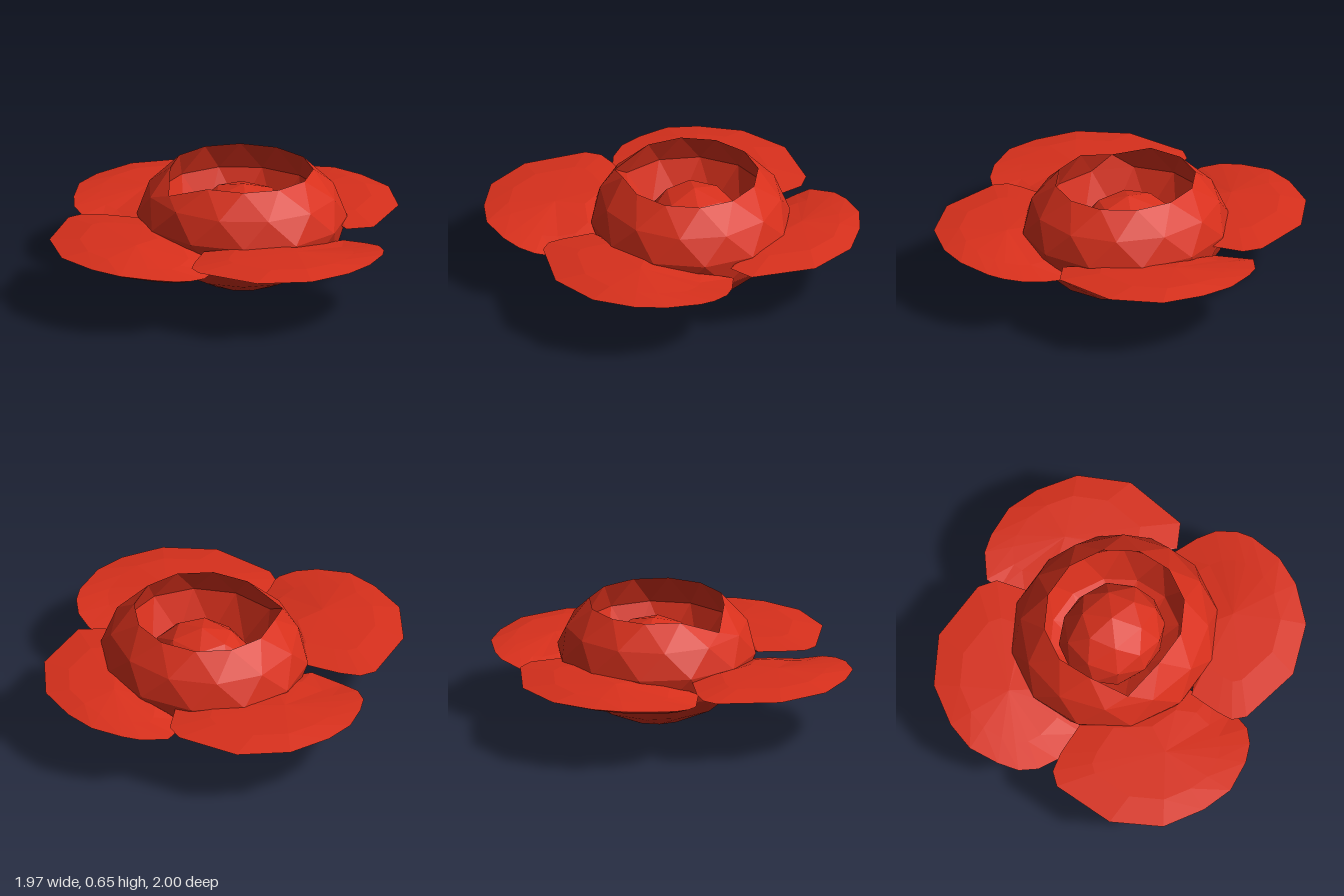
import * as THREE from 'three';

const red = new THREE.MeshStandardMaterial({ color: 0xd8301c, flatShading: true, side: THREE.DoubleSide });
const clamp = THREE.MathUtils.clamp;

// Petal outlines as [x, z], counterclockwise from above
const petals = {
  backPetal: [[.6, -.23], [.71, -.33], [.66, -.68], [.47, -.9], [.25, -.98], [.07, -1], [-.1, -.95], [-.19, -.9],
    [-.28, -.78], [-.26, -.7], [-.18, -.58], [.03, -.58], [.3, -.48], [.48, -.3]],
  rightPetal: [[-.25, -.73], [-.35, -.77], [-.69, -.7], [-.9, -.5], [-.98, -.27], [-.99, -.1], [-.93, .06],
    [-.87, .16], [-.78, .22], [-.66, .24], [-.46, .22], [-.42, .1], [-.48, -.1], [-.4, -.35], [-.16, -.57]],
  frontPetal: [[-.64, .24], [-.74, .29], [-.78, .37], [-.7, .71], [-.5, .92], [-.27, .99], [-.09, 1], [.08, .93],
    [.17, .86], [.22, .78], [.23, .65], [.22, .5], [.1, .38], [-.15, .37], [-.4, .17]],
  leftPetal: [[.11, .45], [.15, .62], [.18, .7], [.25, .74], [.6, .72], [.84, .55], [.95, .34], [.98, .17],
    [.95, -.02], [.91, -.1], [.83, -.18], [.73, -.22], [.57, -.25], [.52, 0], [.42, .2], [.22, .36]],
};

function build(positions, index) {
  const geometry = new THREE.BufferGeometry();
  geometry.setAttribute('position', new THREE.Float32BufferAttribute(positions, 3));
  geometry.setIndex(index);
  geometry.computeVertexNormals();
  return geometry;
}

// Thin lens-shaped petal; its trailing inner corner dips under the next petal
function petalGeometry(outline) {
  const n = outline.length;
  const cx = outline.reduce((s, p) => s + p[0], 0) / n;
  const cz = outline.reduce((s, p) => s + p[1], 0) / n;
  const len = Math.hypot(cx, cz);
  const height = (x, z) => {
    const side = (x * cz - z * cx) / len;
    return 0.367 - 0.075 * clamp(side / 0.42, 0, 1) * clamp((1 - Math.hypot(x, z)) / 0.35, 0, 1);
  };
  const rings = [[0, .03], [.65, .026], [1, .002], [.85, -.02], [0, -.025]];
  const positions = [], index = [];
  for (const [scale, lift] of rings) {
    for (const [px, pz] of outline) {
      const x = cx + (px - cx) * scale, z = cz + (pz - cz) * scale;
      positions.push(x, height(x, z) + lift, z);
    }
  }
  for (let r = 0; r < rings.length - 1; r++) {
    for (let i = 0; i < n; i++) {
      const a = r * n + i, b = r * n + (i + 1) % n;
      index.push(a, a + n, b + n, a, b + n, b);
    }
  }
  return build(positions, index);
}

// Faceted bowl: up the outside, over the rim and down the inside,
// alternate rings turned half a step, with one notch in the rim
function bowlGeometry() {
  const profile = [[0, 0], [.2, .022], [.39, .112], [.525, .235], [.575, .39], [.52, .53], [.39, .655],
    [.455, .5], [.36, .28], [.2, .17], [0, .14]];
  const sides = 12, rim = 6;
  const positions = [], index = [];
  profile.forEach(([radius, y], row) => {
    for (let i = 0; i < sides; i++) {
      const angle = (i + (row % 2) / 2) * 2 * Math.PI / sides;
      const notched = row === rim && i === sides - 1;
      const r = notched ? 0.465 : radius;
      positions.push(r * Math.sin(angle), notched ? 0.575 : y, r * Math.cos(angle) * 0.94);
    }
  });
  for (let row = 0; row < profile.length - 1; row++) {
    for (let i = 0; i < sides; i++) {
      const a = row * sides + i, b = row * sides + (i + 1) % sides;
      const c = a + sides, d = b + sides;
      if (row % 2) index.push(d, c, a, a, b, d);
      else index.push(a, b, c, b, d, c);
    }
  }
  return build(positions, index);
}

export function createModel() {
  const flower = new THREE.Group();
  flower.name = 'flower';
  const add = (name, geometry) => {
    const mesh = new THREE.Mesh(geometry, red);
    mesh.name = name;
    flower.add(mesh);
    return mesh;
  };

  for (const [name, outline] of Object.entries(petals)) add(name, petalGeometry(outline));

  add('bowl', bowlGeometry()).position.set(0.03, 0, -0.09);

  // Rounded bud inside the bowl
  const bud = add('centreBud', new THREE.IcosahedronGeometry(1, 1));
  bud.scale.set(0.3, 0.25, 0.27);
  bud.position.set(0.03, 0.31, -0.11);

  return flower;
}
